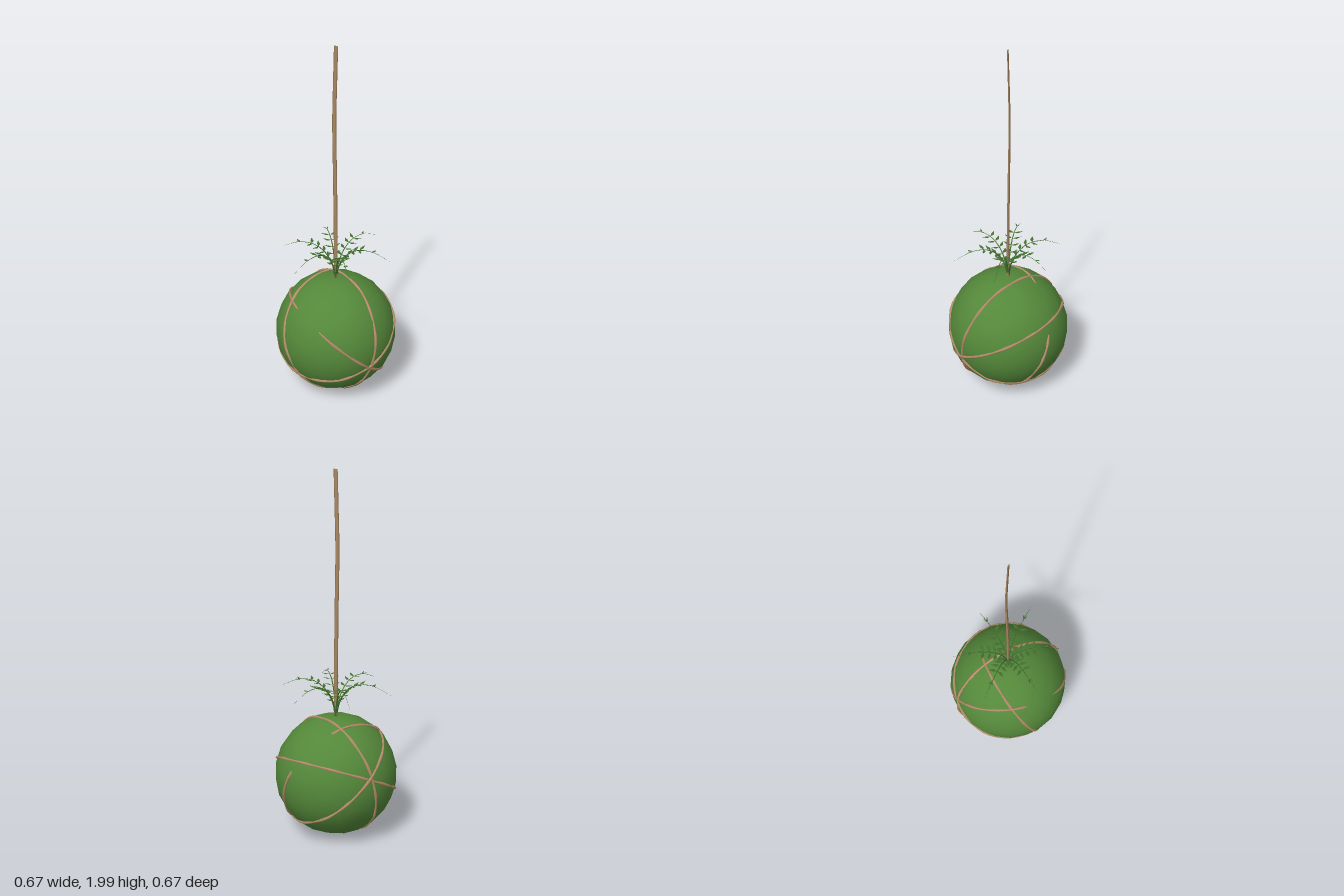
import * as THREE from 'three';
import { mergeGeometries } from 'three/addons/utils/BufferGeometryUtils.js';

const V = (x, y, z) => new THREE.Vector3(x, y, z);
const moss = new THREE.MeshStandardMaterial({ color: 0x54883a });
const leaf = new THREE.MeshStandardMaterial({ color: 0x42702f, side: THREE.DoubleSide });
const twine = new THREE.MeshStandardMaterial({ color: 0xb48e6a });
const cord = new THREE.MeshStandardMaterial({ color: 0xa88760 });

const CENTER = V(0, 0.341, 0);

function mesh(name, geometry, material) {
  const m = new THREE.Mesh(geometry, material);
  m.name = name;
  return m;
}

// Tube whose cross-section is reshaped along its length by shape(offset, t)
function shapedTube(curve, segments, radius, sides, closed, shape) {
  const g = new THREE.TubeGeometry(curve, segments, radius, sides, closed);
  const p = g.attributes.position;
  for (let i = 0; i < p.count; i++) {
    const t = Math.floor(i / (sides + 1)) / segments;
    const c = curve.getPointAt(t);
    const o = V().fromBufferAttribute(p, i).sub(c);
    shape(o, t);
    p.setXYZ(i, c.x + o.x, c.y + o.y, c.z + o.z);
  }
  g.computeVertexNormals();
  return g;
}

// Loop of twine around the ball in the plane with the given normal;
// it sinks into the moss near the dip directions
function twineLoop(normal, dips) {
  const n = normal.clone().normalize();
  const u = V(0.31, 0.52, 0.8).cross(n).normalize();
  const w = n.clone().cross(u);
  const points = [];
  for (let i = 0; i < 20; i++) {
    const a = (i / 20) * Math.PI * 2;
    const d = u.clone().multiplyScalar(Math.cos(a)).addScaledVector(w, Math.sin(a));
    let r = 0.3285 + 0.002 * Math.sin(i * 2.4);
    for (const dip of dips) if (d.angleTo(dip) < 0.33) r -= 0.013;
    points.push(d.multiplyScalar(r).add(CENTER));
  }
  const curve = new THREE.CatmullRomCurve3(points, true);
  return shapedTube(curve, 60, 0.008, 5, true,
    (o, t) => o.multiplyScalar(0.95 + 0.2 * Math.sin(t * Math.PI * 26)));
}

// Pointed flat leaflet reaching sideways from the frond's midrib
function leaflet(base, side, size) {
  const g = new THREE.BufferGeometry();
  const pts = [[0, 0, 0], [0.014, 0.002, 0.45], [0.016, 0.008, 1], [-0.004, 0.002, 0.5]];
  const pos = pts.flatMap(([x, y, z]) => [base.x + x, base.y + y, base.z + z * side * size]);
  g.setAttribute('position', new THREE.Float32BufferAttribute(pos, 3));
  g.setIndex(side > 0 ? [0, 2, 1, 0, 3, 2] : [0, 1, 2, 0, 2, 3]);
  g.computeVertexNormals();
  return g;
}

function frondGeometries() {
  const rib = new THREE.CatmullRomCurve3([
    V(0.002, 0.66, 0), V(0.015, 0.74, 0), V(0.055, 0.815, 0),
    V(0.115, 0.858, 0), V(0.2, 0.862, 0), V(0.298, 0.82, 0)]);
  const stem = shapedTube(rib, 14, 0.005, 4, false, (o, t) => o.multiplyScalar(1.05 - t));
  const leaves = [];
  for (const [t, size] of [[0.24, 0.03], [0.33, 0.042], [0.42, 0.046], [0.51, 0.047], [0.6, 0.046], [0.76, 0.012]])
    for (const side of [-1, 1]) leaves.push(leaflet(rib.getPointAt(t), side, size));
  return [stem, mergeGeometries(leaves)];
}

export function createModel() {
  const model = new THREE.Group();
  model.name = 'hangingMossBall';

  // Moss ball
  const ball = mesh('mossBall', new THREE.IcosahedronGeometry(0.331, 3), moss);
  ball.position.copy(CENTER);
  model.add(ball);

  // Twine wrapped around the ball
  const wraps = new THREE.Group();
  wraps.name = 'twineWraps';
  const loops = [
    [V(0.92, 0.36, 0.14), [V(-0.07, 0.22, -0.23)]],
    [V(0.12, 0.87, 0.46), []],
    [V(-0.085, 0.185, 0.98), []],
    [V(0.29, 0.74, -0.61), [V(0.06, 0.2, 0.26)]],
  ];
  for (const [normal, dips] of loops) wraps.add(mesh('twineLoop', twineLoop(normal, dips), twine));
  model.add(wraps);

  // Hanging cord, round at the ball and flattened towards the top
  const path = new THREE.CatmullRomCurve3([
    V(0, 0.65, 0), V(0, 0.9, 0), V(-0.005, 1.25, 0), V(-0.011, 1.6, 0), V(-0.005, 1.8, 0), V(0.002, 2, 0)]);
  const thin = V(0.45, 0, 0.89);
  const cordShape = shapedTube(path, 16, 0.011, 6, false, (o, t) => {
    o.addScaledVector(thin, -o.dot(thin) * (0.3 + 0.45 * t));
    o.y = 0;
  });
  model.add(mesh('hangingCord', cordShape, cord));
  const cap = new THREE.CircleGeometry(0.0105, 6).rotateX(-Math.PI / 2).scale(1, 1, 0.25);
  const cordEnd = mesh('cordEnd', cap.rotateY(0.47), cord);
  cordEnd.position.set(0.002, 2, 0);
  model.add(cordEnd);

  // Six arching fronds around the cord
  const [stem, leaves] = frondGeometries();
  for (let i = 0; i < 6; i++) {
    const frond = new THREE.Group();
    frond.name = 'frond';
    frond.add(mesh('frondStem', stem, leaf), mesh('leaflets', leaves, leaf));
    frond.rotation.y = Math.PI / 6 + (i * Math.PI) / 3;
    model.add(frond);
  }
  return model;
}
